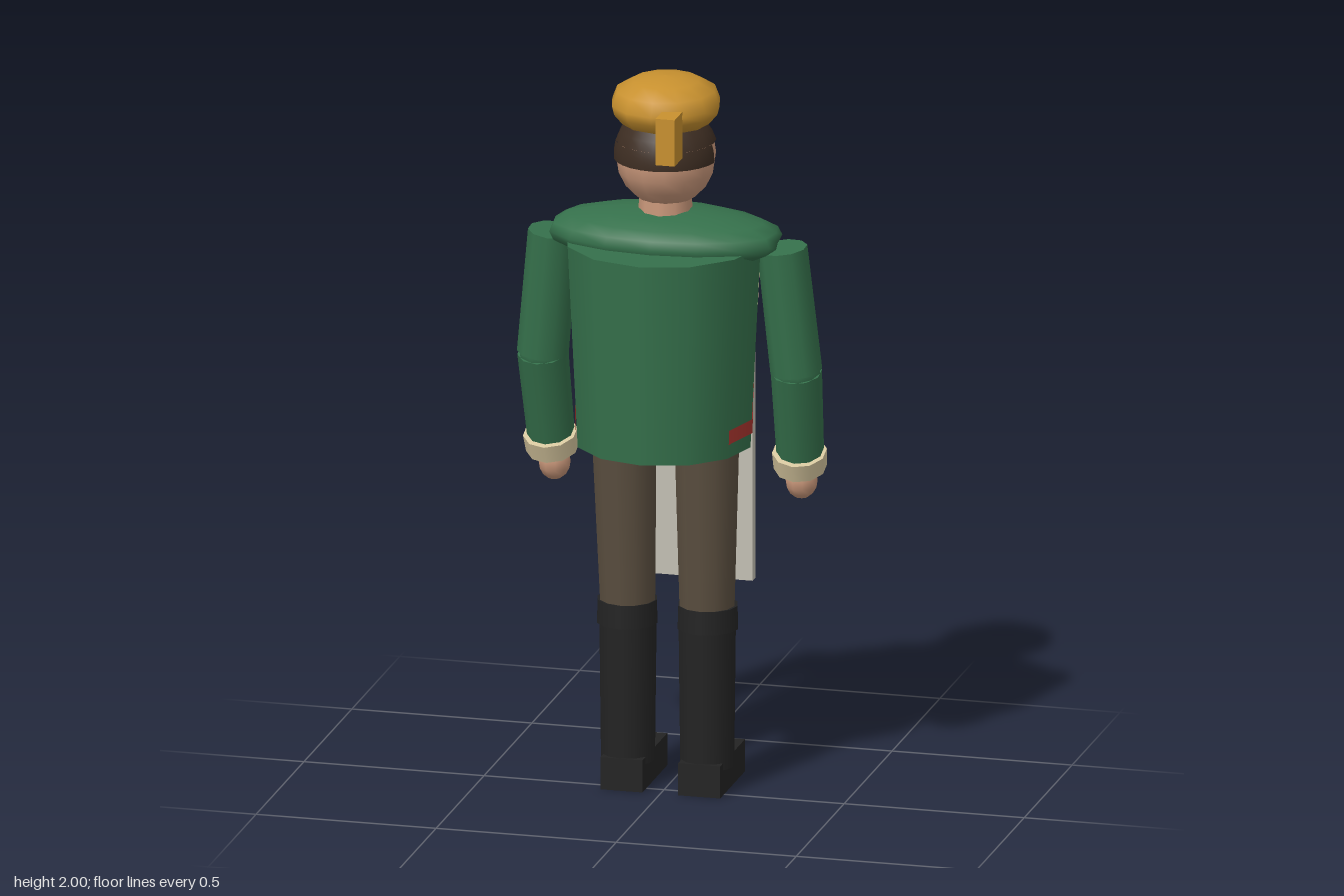
import * as THREE from 'three';

const mat = (name, color, side = THREE.FrontSide) =>
  Object.assign(new THREE.MeshStandardMaterial({ color, side }), { name });

export function createModel() {
  const D = THREE.DoubleSide;
  const green = mat('coat green', 0x35704b);
  const cream = mat('linen cream', 0xd6c69e, D);
  const red = mat('sash red', 0xa8352e, D);
  const gold = mat('cap gold', 0xc8912f);
  const skin = mat('skin', 0xc9977a);
  const hair = mat('hair brown', 0x3d2d22, D);
  const brown = mat('trouser brown', 0x5a4e3f);
  const black = mat('boot black', 0x232323);
  const grey = mat('panel grey', 0xc4c0b4);
  const dark = mat('eye black', 0x15110f);

  const model = new THREE.Group();
  const add = (name, geo, material, x = 0, y = 0, z = 0) => {
    const m = new THREE.Mesh(geo, material);
    m.name = name;
    m.position.set(x, y, z);
    model.add(m);
    return m;
  };
  const box = (name, material, w, h, d, x, y, z) =>
    add(name, new THREE.BoxGeometry(w, h, d), material, x, y, z);
  const ball = (name, material, rx, ry, rz, x, y, z, ws = 10, hs = 8) =>
    add(name, new THREE.SphereGeometry(1, ws, hs).scale(rx, ry, rz), material, x, y, z);
  // tapered tube from a (top) to b (bottom)
  const limb = (name, material, a, b, ra, rb, sides = 10) => {
    const p = new THREE.Vector3(...a), q = new THREE.Vector3(...b);
    const m = add(name, new THREE.CylinderGeometry(ra, rb, p.distanceTo(q), sides), material);
    m.position.copy(p).add(q).multiplyScalar(0.5);
    m.quaternion.setFromUnitVectors(new THREE.Vector3(0, 1, 0), p.sub(q).normalize());
    return m;
  };

  // Coat body
  const y0 = 0.98, y1 = 1.545, r0 = 0.24, r1 = 0.268;
  add('coatBody', new THREE.CylinderGeometry(r1, r0, y1 - y0, 12), green, 0, (y0 + y1) / 2, 0);

  // Colour patches following the coat; angles in degrees from +z
  const patch = (name, material, from, to, low, high) => {
    const r = y => r0 + (r1 - r0) * (y - y0) / (y1 - y0) + 0.003;
    const rad = Math.PI / 180;
    add(name, new THREE.CylinderGeometry(r(high), r(low), high - low, (to - from) / 30, 1, true,
      from * rad, (to - from) * rad), material, 0, (low + high) / 2, 0);
  };
  patch('sashFront', red, 120, 240, 1.02, 1.12);
  patch('sashSide', red, 60, 120, 1.02, 1.06);
  patch('sashSide', red, 240, 300, 1.02, 1.06);
  patch('shirtFront', cream, 150, 210, 1.2, 1.544);
  patch('shirtSide', cream, 120, 150, 1.34, 1.544);
  patch('shirtSide', cream, 210, 240, 1.34, 1.544);
  box('placket', cream, 0.14, 0.36, 0.02, 0, 1.365, -0.253);

  // Shoulder yoke: flattened ellipsoid with blunt ends
  const yoke = new THREE.SphereGeometry(1, 16, 10).scale(0.335, 0.077, 0.176);
  const yp = yoke.attributes.position;
  for (let i = 0; i < yp.count; i++) yp.setX(i, THREE.MathUtils.clamp(yp.getX(i), -0.306, 0.306));
  yoke.computeVertexNormals();
  add('shoulderYoke', yoke, green, 0, 1.557, -0.018);

  // Neck and head
  add('neck', new THREE.CylinderGeometry(0.07, 0.075, 0.1, 10), skin, 0, 1.63, -0.015);
  const hy = 1.777, hz = -0.022;
  ball('head', skin, 0.136, 0.14, 0.14, 0, hy, hz, 14, 10);
  ball('nose', skin, 0.026, 0.03, 0.032, 0, 1.79, -0.175);

  // Hair shells on the back and sides of the head
  const hairShell = (from, to, low, high) => {
    const t0 = Math.acos((high - hy) / 0.144), t1 = Math.acos((low - hy) / 0.144);
    add('hair', new THREE.SphereGeometry(1, 12, 4, from, to - from, t0, t1 - t0)
      .scale(0.141, 0.144, 0.144), hair, 0, hy, hz);
  };
  hairShell(-0.25, Math.PI + 0.25, 1.82, 1.905);
  hairShell(0.15, Math.PI - 0.15, 1.77, 1.82);

  // Face details
  for (const s of [-1, 1]) {
    ball('eye', dark, 0.017, 0.019, 0.012, s * 0.05, 1.828, -0.145);
    box('eyebrow', hair, 0.055, 0.013, 0.018, s * 0.05, 1.86, -0.158).rotation.z = s * 0.12;
  }
  box('mouth', dark, 0.06, 0.011, 0.014, 0, 1.727, -0.152);

  // Cap with hanging tab at the back
  const capProfile = [[0, 1.868], [0.12, 1.872], [0.143, 1.9], [0.149, 1.925],
    [0.135, 1.962], [0.09, 1.987], [0.045, 1.997], [0, 2]];
  const cap = add('cap', new THREE.LatheGeometry(
    capProfile.map(p => new THREE.Vector2(p[0], p[1] - 1.92)), 12), gold, 0, 1.92, -0.02);
  cap.scale.z = 1.06;
  box('capTab', gold, 0.053, 0.13, 0.08, 0.053, 1.875, 0.148);

  // Arms and legs, mirrored
  for (const s of [-1, 1]) {
    const elbow = [s * 0.352, 1.185, -0.058];
    limb('upperArm', green, [s * 0.318, 1.535, -0.038], elbow, 0.068, 0.07);
    ball('elbow', green, 0.066, 0.066, 0.066, ...elbow);
    limb('forearm', green, elbow, [s * 0.346, 0.93, -0.122], 0.069, 0.064);
    limb('cuff', cream, [s * 0.346, 0.945, -0.112], [s * 0.344, 0.896, -0.13], 0.074, 0.072);
    ball('hand', skin, 0.045, 0.054, 0.046, s * 0.343, 0.857, -0.145);

    limb('trouserLeg', brown, [s * 0.115, 1.0, -0.015], [s * 0.11, 0.5, -0.035], 0.09, 0.076, 12);
    limb('bootShaft', black, [s * 0.11, 0.5, -0.037], [s * 0.11, 0.07, -0.037], 0.08, 0.075, 12);
    limb('bootTop', black, [s * 0.112, 0.52, -0.037], [s * 0.112, 0.455, -0.037], 0.082, 0.084, 12);
    box('bootFoot', black, 0.117, 0.09, 0.26, s * 0.108, 0.045, -0.09);
  }

  // Hanging front panel with small plaque
  box('frontPanel', grey, 0.37, 0.67, 0.032, 0, 0.868, -0.245);
  box('panelPlaque', gold, 0.076, 0.066, 0.01, 0, 1.07, -0.265);

  return model;
}
